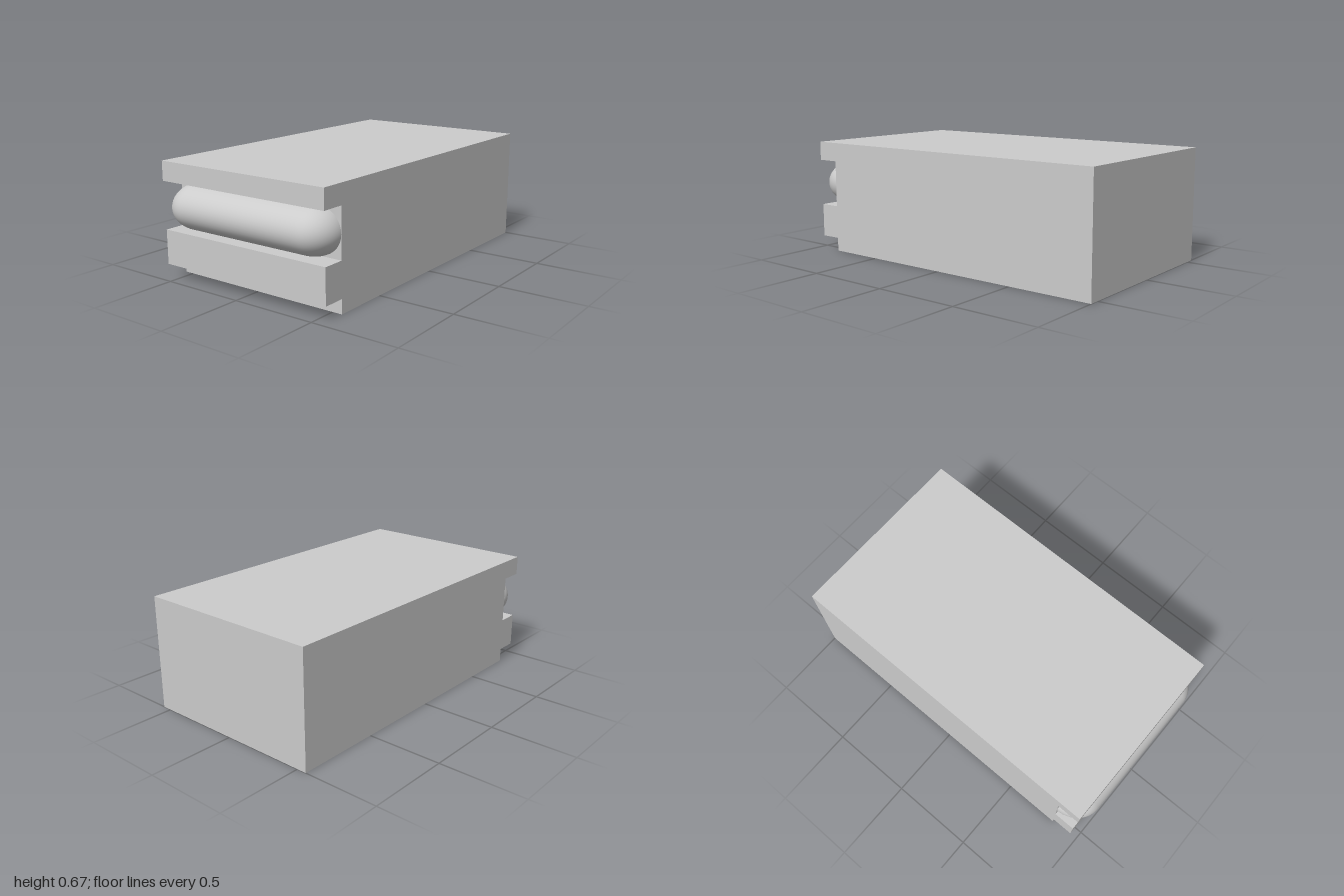
import * as THREE from 'three';

export function createModel() {
  const model = new THREE.Group();
  const material = new THREE.MeshStandardMaterial({ color: 0xcccccc });
  const width = 1.114, faceZ = 0.83;

  const add = (name, geometry) => {
    const mesh = new THREE.Mesh(geometry, material);
    mesh.name = name;
    model.add(mesh);
    return mesh;
  };

  // Full-width block given by its y and z ranges
  const block = (name, y0, y1, z0, z1) =>
    add(name, new THREE.BoxGeometry(width, y1 - y0, z1 - z0))
      .position.set(0, (y0 + y1) / 2, (z0 + z1) / 2);

  block('body', 0, 0.668, -1, faceZ);
  block('topLip', 0.556, 0.668, faceZ, 0.965);
  block('lowerLip', 0.08, 0.279, faceZ, 0.957);

  // Rounded bar half sunk into the front face, with elliptical ends
  const capX = 0.155, straight = 0.8;
  const bar = new THREE.CapsuleGeometry(1, straight / capX, 16, 48);
  bar.rotateZ(Math.PI / 2);
  bar.scale(capX, 0.133, 0.17);
  add('roundedBar', bar).position.set(0, 0.412, faceZ);

  return model;
}
